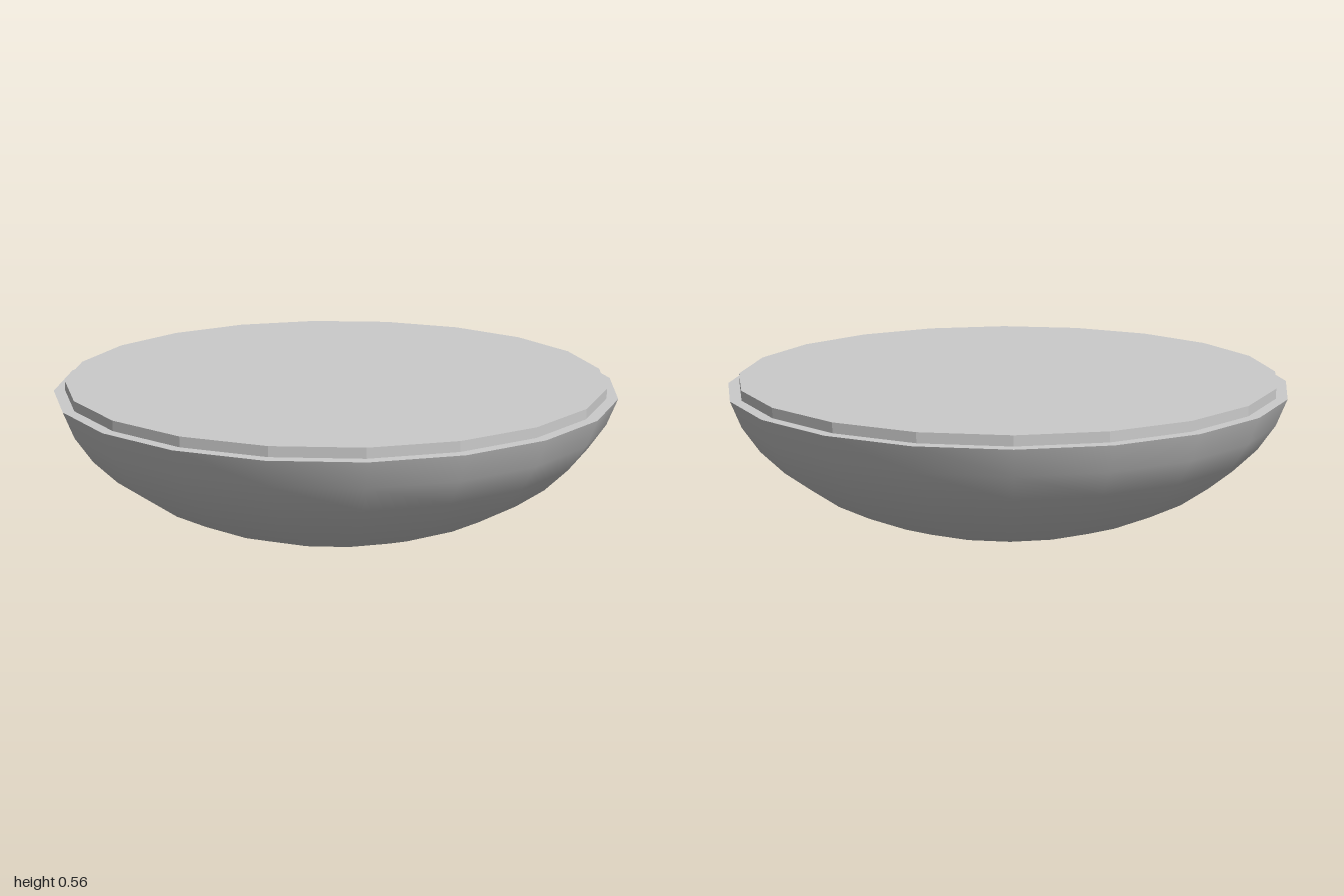
import * as THREE from 'three';

const SIDES = 20;
const RIM_Y = 0.525, TOP_Y = 0.56, LIP_R = 0.96;

export function createModel() {
  const group = new THREE.Group();
  const smooth = new THREE.MeshStandardMaterial({ color: 0xcccccc });
  const flat = new THREE.MeshStandardMaterial({ color: 0xcccccc, flatShading: true });

  const add = (name, geometry, material, y = 0) => {
    const mesh = new THREE.Mesh(geometry, material);
    mesh.name = name;
    mesh.position.y = y;
    group.add(mesh);
  };

  // Rounded bowl: a flattened sphere cut off just below its equator
  const steps = 9, maxAngle = THREE.MathUtils.degToRad(81);
  const radius = 1 / Math.sin(maxAngle);
  const depth = RIM_Y / (1 - Math.cos(maxAngle));
  const profile = [];
  for (let i = 0; i <= steps; i++) {
    const a = (maxAngle * i) / steps;
    profile.push(new THREE.Vector2(radius * Math.sin(a), depth * (1 - Math.cos(a))));
  }
  add('bowl', new THREE.LatheGeometry(profile, SIDES), smooth);

  // Flat ledge around the top of the bowl
  add('rim', new THREE.RingGeometry(LIP_R, 1, SIDES).rotateX(-Math.PI / 2), flat, RIM_Y);

  // Slightly smaller raised disc closing the top
  const height = TOP_Y - RIM_Y;
  add('lid', new THREE.CylinderGeometry(LIP_R, LIP_R, height, SIDES), flat, RIM_Y + height / 2);

  return group;
}
